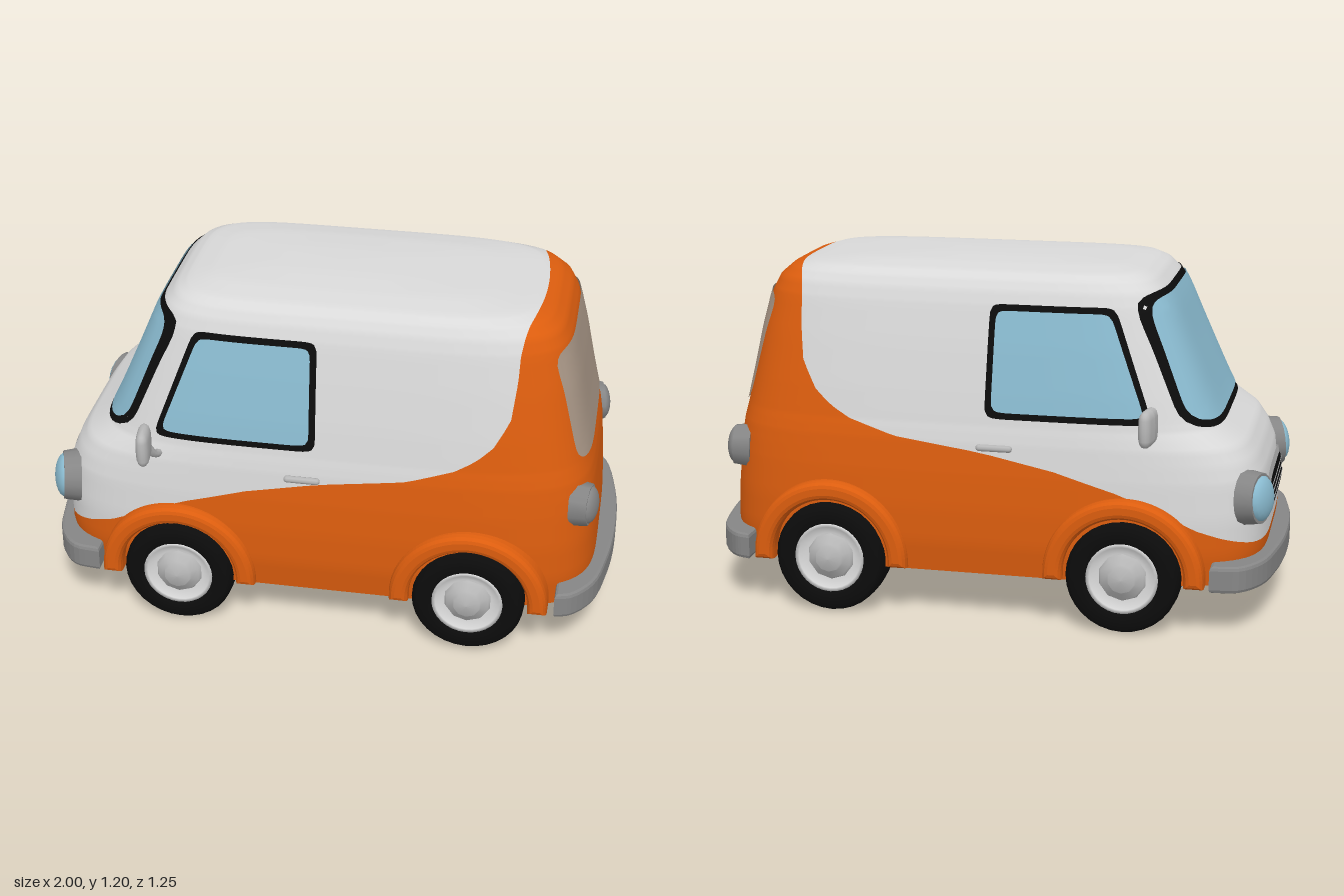
import * as THREE from 'three';

const mat = (name, color, side = THREE.FrontSide) => {
  const m = new THREE.MeshStandardMaterial({ color, side });
  m.name = name;
  return m;
};
const M = {
  white: mat('white paint', 0xd9d9d9),
  orange: mat('orange paint', 0xdc5d0e),
  glass: mat('blue glass', 0x8abbd0, THREE.DoubleSide),
  rearGlass: mat('tan rear glass', 0xa89686, THREE.DoubleSide),
  black: mat('black rubber', 0x0c0c0c, THREE.DoubleSide),
  bumper: mat('bumper grey', 0x868686),
  chrome: mat('light metal', 0xb8b8b8, THREE.DoubleSide),
  floor: mat('underside brown', 0x84594a),
};

// Body slices by height: y, front x, back x, half width
const SLICES = [
  [0.175, -0.93, 0.935, 0.495], [0.28, -0.945, 0.94, 0.508], [0.4, -0.945, 0.935, 0.508],
  [0.52, -0.93, 0.925, 0.5], [0.58, -0.905, 0.92, 0.493], [0.63, -0.87, 0.912, 0.487],
  [0.665, -0.82, 0.903, 0.48], [0.69, -0.785, 0.897, 0.474], [0.72, -0.765, 0.89, 0.469],
  [0.8, -0.728, 0.872, 0.455], [0.95, -0.662, 0.842, 0.424], [1.08, -0.607, 0.81, 0.393],
  [1.13, -0.58, 0.785, 0.374], [1.165, -0.545, 0.745, 0.35], [1.185, -0.505, 0.68, 0.315],
  [1.2, -0.42, 0.5, 0.22], [1.207, -0.25, 0.25, 0.1], [1.209, 0, 0, 0],
];
// Paint edge: y, x of the orange boundary
const EDGE = [
  [0.27, -1.2], [0.29, -0.97], [0.36, -0.75], [0.42, -0.63], [0.48, -0.49], [0.55, -0.25], [0.6, 0],
  [0.64, 0.3], [0.69, 0.46], [0.73, 0.53], [0.78, 0.585], [0.87, 0.635], [1, 0.65], [1.16, 0.655], [1.21, 0.665],
];
const POWER = 5;

function lookup(table, y) {
  let i = 0;
  while (i < table.length - 2 && y > table[i + 1][0]) i++;
  const k = THREE.MathUtils.clamp((y - table[i][0]) / (table[i + 1][0] - table[i][0]), 0, 1);
  return table[i].map((v, n) => v + (table[i + 1][n] - v) * k);
}
const bulge = t => Math.pow(Math.max(0, 1 - Math.pow(Math.abs(t), POWER)), 1 / POWER);
// Points on the body skin, pushed out by d
const onSide = (s, d) => (x, y) => {
  const [, f, b, w] = lookup(SLICES, y);
  return [x, y, s * (w * bulge(x / (x < 0 ? f : b)) + d)];
};
const onEnd = (s, d) => (z, y) => {
  const [, f, b, w] = lookup(SLICES, y);
  return [(s < 0 ? f : b) * bulge(z / w) + s * d, y, z];
};

function add(group, name, geometry, material) {
  const mesh = new THREE.Mesh(geometry, material);
  mesh.name = name;
  group.add(mesh);
  return mesh;
}

// Rounded four-cornered sheet laid on the skin; corners run bottom-left, bottom-right, top-right, top-left
function sheet(corners, place, round = 9) {
  const g = new THREE.PlaneGeometry(2, 2, 28, 16);
  const p = g.attributes.position;
  for (let i = 0; i < p.count; i++) {
    let s = p.getX(i), t = p.getY(i);
    const n = Math.pow(Math.abs(s) ** round + Math.abs(t) ** round, 1 / round) || 1;
    const k = Math.max(Math.abs(s), Math.abs(t)) / n;
    s = (s * k + 1) / 2;
    t = (t * k + 1) / 2;
    const mix = c => (corners[0][c] * (1 - s) + corners[1][c] * s) * (1 - t) + (corners[3][c] * (1 - s) + corners[2][c] * s) * t;
    p.setXYZ(i, ...place(mix(0), mix(1)));
  }
  g.computeVertexNormals();
  return g;
}
const trapezoid = (wBottom, yBottom, wTop, yTop) => [[-wBottom, yBottom], [wBottom, yBottom], [wTop, yTop], [-wTop, yTop]];

// Lofted shell, cut along the paint edge into two meshes
function buildBody(car) {
  const N = 128, SUB = 4, pos = [], index = [];
  const rows = (SLICES.length - 1) * SUB;
  for (let i = 0; i <= rows; i++) {
    const k = Math.min(Math.floor(i / SUB), SLICES.length - 2), t = i / SUB - k;
    const [y, f, b, w] = SLICES[k].map((v, n) => v + (SLICES[k + 1][n] - v) * t);
    for (let j = 0; j < N; j++) {
      const side = Math.floor(j / (N / 4)), a = (j % (N / 4)) / (N / 8) - 1;
      const [p, q] = [[1, a], [-a, 1], [-1, -a], [a, -1]][side];
      const r = Math.pow(Math.abs(p) ** POWER + Math.abs(q) ** POWER, -1 / POWER);
      pos.push(p * r * (p < 0 ? -f : b), y, q * r * w);
      const j2 = (j + 1) % N, A = i * N + j, C = i * N + j2;
      if (i < rows) index.push(A, A + N, C, C, A + N, C + N);
    }
  }
  const shell = new THREE.BufferGeometry();
  shell.setAttribute('position', new THREE.Float32BufferAttribute(pos, 3));
  shell.setIndex(index);
  shell.computeVertexNormals();
  const nor = shell.attributes.normal.array;
  const paint = v => v[0] - lookup(EDGE, v[1])[1] - 0.05 * Math.max(0, 1 - (v[2] / 0.36) ** 2);
  const vertex = i => [...pos.slice(i * 3, i * 3 + 3), ...nor.slice(i * 3, i * 3 + 3)];
  for (const [name, sign, material] of [['upperBody', -1, M.white], ['lowerBody', 1, M.orange]]) {
    const P = [], Q = [];
    for (let i = 0; i < index.length; i += 3) {
      const tri = [0, 1, 2].map(n => vertex(index[i + n])), poly = [];
      tri.forEach((v, n) => {
        const u = tri[(n + 1) % 3], fv = sign * paint(v), fu = sign * paint(u);
        if (fv >= 0) poly.push(v);
        if (fv * fu < 0) poly.push(v.map((c, m) => c + (u[m] - c) * fv / (fv - fu)));
      });
      for (let n = 1; n + 1 < poly.length; n++) {
        for (const v of [poly[0], poly[n], poly[n + 1]]) {
          P.push(v[0], v[1], v[2]);
          Q.push(v[3], v[4], v[5]);
        }
      }
    }
    const g = new THREE.BufferGeometry();
    g.setAttribute('position', new THREE.Float32BufferAttribute(P, 3));
    g.setAttribute('normal', new THREE.Float32BufferAttribute(Q, 3));
    add(car, name, g, material);
  }
  const outline = [];
  for (let j = 0; j < N; j++) outline.push(new THREE.Vector2(pos[j * 3], pos[j * 3 + 2]));
  add(car, 'underside', new THREE.ShapeGeometry(new THREE.Shape(outline)).rotateX(Math.PI / 2).translate(0, 0.175, 0), M.floor);
}

function buildWheel(x, s) {
  const wheel = new THREE.Group();
  wheel.name = 'wheel';
  const lathe = (pts, n) => new THREE.LatheGeometry(pts.map(p => new THREE.Vector2(...p)), n).rotateX(Math.PI / 2);
  add(wheel, 'tyre', lathe([[0.115, -0.06], [0.13, -0.075], [0.175, -0.075], [0.192, -0.055], [0.195, 0],
    [0.192, 0.055], [0.175, 0.075], [0.13, 0.075], [0.115, 0.06]], 32), M.black);
  add(wheel, 'rim', lathe([[0, -0.04], [0.08, -0.045], [0.122, -0.068], [0.122, 0.07], [0.11, 0.068], [0.085, 0.05], [0, 0.05]], 32), M.white);
  add(wheel, 'hubCap', lathe([[0.085, 0.045], [0.075, 0.065], [0.05, 0.07], [0.045, 0.085], [0, 0.09]], 10), M.chrome);
  wheel.position.set(x, 0.203, s * 0.458);
  if (s < 0) wheel.rotation.y = Math.PI;
  return wheel;
}

function buildLamp(name, pos, dir, r, lens, sides) {
  const lamp = new THREE.Group();
  lamp.name = name;
  add(lamp, 'lampRim', new THREE.CylinderGeometry(r * 0.9, r, 0.06, sides), M.bumper);
  add(lamp, 'lens', new THREE.SphereGeometry(r * 0.82, 16, 6, 0, Math.PI * 2, 0, Math.PI / 2).scale(1, 0.45, 1).translate(0, 0.025, 0), lens);
  lamp.position.set(...pos);
  lamp.quaternion.setFromUnitVectors(new THREE.Vector3(0, 1, 0), new THREE.Vector3(...dir).normalize());
  return lamp;
}

function buildMirror(s) {
  const mirror = new THREE.Group();
  mirror.name = 'mirror';
  const path = new THREE.CatmullRomCurve3([[-0.55, 0.65, 0.45], [-0.56, 0.67, 0.5], [-0.575, 0.73, 0.54]].map(p => new THREE.Vector3(p[0], p[1], s * p[2])));
  add(mirror, 'mirrorArm', new THREE.TubeGeometry(path, 8, 0.014, 6), M.chrome);
  const head = add(mirror, 'mirrorHead', new THREE.SphereGeometry(1, 16, 10), M.chrome);
  const p = head.geometry.attributes.position;
  for (let i = 0; i < p.count; i++) {
    const sq = n => Math.sign(n) * Math.sqrt(Math.abs(n));
    p.setXYZ(i, p.getX(i) * 0.024, sq(p.getY(i)) * 0.062, sq(p.getZ(i)) * 0.062);
  }
  head.geometry.computeVertexNormals();
  head.position.set(-0.575, 0.74, s * 0.565);
  head.rotation.y = s * 0.15;
  return mirror;
}

// Crescent bumper wrapped round one end
function buildBumper(car, name, s, chord) {
  const half = [[chord, 0.5], [0.87, 0.485], [0.935, 0.4], [0.97, 0.25], [0.987, 0.1]];
  const curve = new THREE.CatmullRomCurve3([...half, ...half.slice().reverse().map(([x, z]) => [x, -z])].map(([x, z]) => new THREE.Vector3(s * x, z, 0)));
  const shape = new THREE.Shape(curve.getPoints(36).map(p => new THREE.Vector2(p.x, p.y)));
  const g = new THREE.ExtrudeGeometry(shape, { depth: 0.066, bevelThickness: 0.013, bevelSize: 0.012, bevelSegments: 2 });
  add(car, name, g.rotateX(Math.PI / 2).translate(0, 0.248, 0), M.bumper);
}

export function createModel() {
  const car = new THREE.Group();
  car.name = 'van';
  buildBody(car);
  buildBumper(car, 'frontBumper', -1, 0.79);
  buildBumper(car, 'rearBumper', 1, 0.83);

  // Windscreen, rear window and grille
  add(car, 'windscreenSeal', sheet(trapezoid(0.42, 0.69, 0.352, 1.135), onEnd(-1, 0.005)), M.black);
  add(car, 'windscreen', sheet(trapezoid(0.402, 0.712, 0.335, 1.118), onEnd(-1, 0.01)), M.glass);
  add(car, 'rearWindow', sheet(trapezoid(0.345, 0.69, 0.315, 1.085), onEnd(1, 0.006), 10), M.rearGlass);
  add(car, 'grilleFrame', sheet(trapezoid(0.25, 0.365, 0.23, 0.51), onEnd(-1, 0.008), 4), M.chrome);
  add(car, 'grille', sheet(trapezoid(0.22, 0.39, 0.2, 0.485), onEnd(-1, 0.013), 4), M.black);
  for (const y of [0.415, 0.437, 0.459]) {
    add(car, 'grilleBar', sheet(trapezoid(0.2, y - 0.004, 0.2, y + 0.004), onEnd(-1, 0.017)), M.chrome);
  }

  // Wheel arch outline
  const arch = new THREE.Shape();
  arch.moveTo(0.25, 0).absarc(0, 0, 0.25, 0, Math.PI, false).absarc(0, 0, 0.226, Math.PI, 0, true);

  for (const s of [1, -1]) {
    add(car, 'sideWindowSeal', sheet([[-0.575, 0.715], [-0.01, 0.715], [-0.015, 1.09], [-0.435, 1.09]], onSide(s, 0.005), 16), M.black);
    add(car, 'sideWindow', sheet([[-0.548, 0.737], [-0.032, 0.737], [-0.036, 1.07], [-0.42, 1.07]], onSide(s, 0.009), 16), M.glass);
    for (const x of [-0.49, 0.525]) {
      car.add(buildWheel(x, s));
      const g = new THREE.ExtrudeGeometry(arch, { depth: 0.07, bevelThickness: 0.03, bevelSize: 0.022, bevelSegments: 3, curveSegments: 28 });
      add(car, 'wheelArch', g.translate(x, 0.203, s * 0.475 - 0.035), M.orange);
    }
    car.add(buildMirror(s));
    car.add(buildLamp('headlight', [-0.905, 0.465, s * 0.365], [-1, 0.08, s * 0.35], 0.095, M.glass, 16));
    car.add(buildLamp('rearLamp', [0.885, 0.54, s * 0.355], [1, 0.05, s * 0.2], 0.08, M.bumper, 8));
    const handle = add(car, 'doorHandle', new THREE.CapsuleGeometry(0.012, 0.1, 4, 8).rotateZ(Math.PI / 2), M.chrome);
    handle.position.set(-0.05, 0.622, s * 0.505);
  }
  return car;
}
